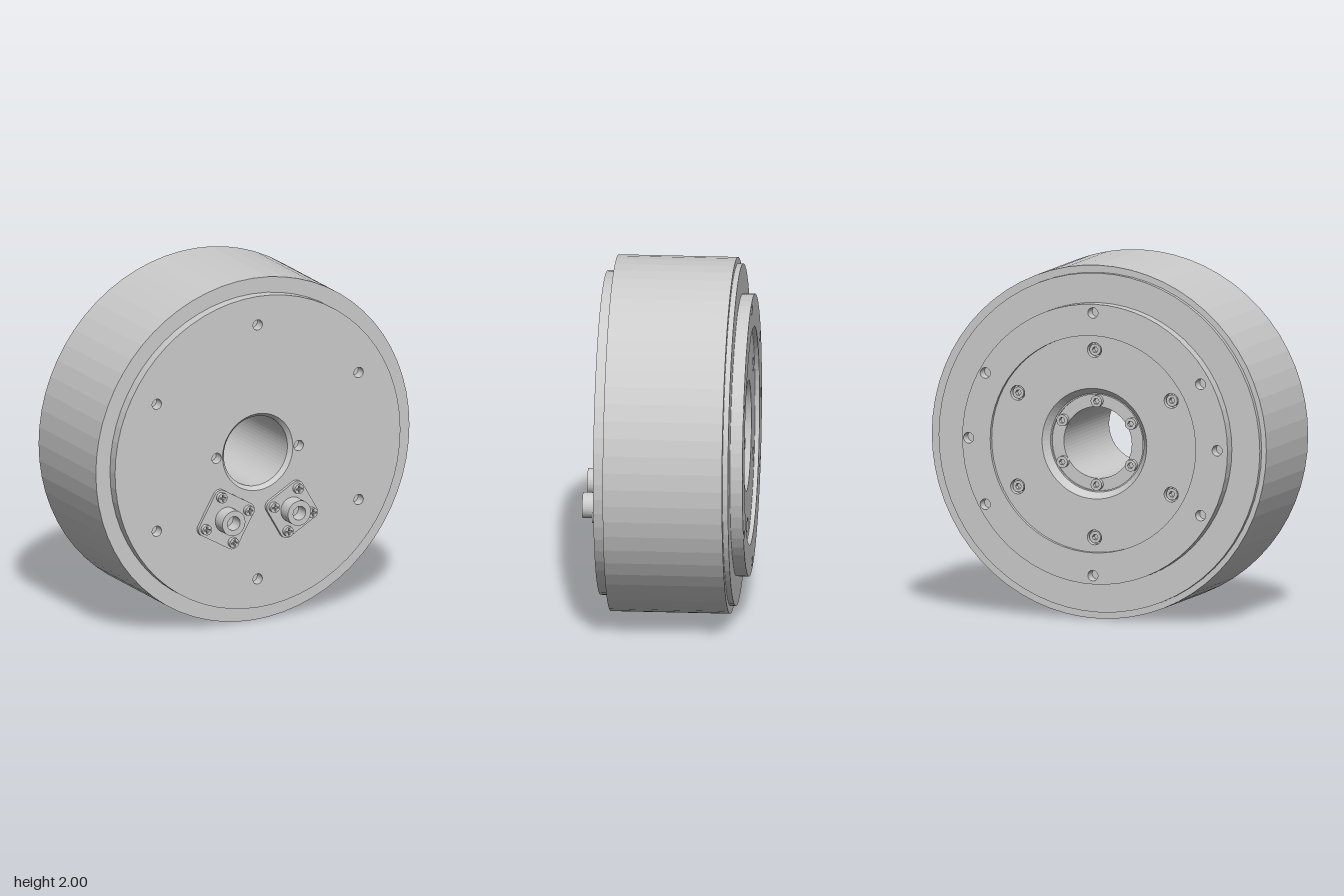
import * as THREE from 'three';

const material = new THREE.MeshStandardMaterial({ color: 0xcccccc });
const openMaterial = new THREE.MeshStandardMaterial({ color: 0xcccccc, side: THREE.DoubleSide, flatShading: true });

const BORE = 0.203;
const BOLT_CIRCLE = 0.743;

function circle(r, x = 0, y = 0, PathType = THREE.Path) {
  return new PathType().absarc(x, y, r, 0, Math.PI * 2, false);
}

// Points spaced evenly on a circle, as [x, y]
function polar(count, r, startDeg) {
  return Array.from({ length: count }, (_, i) => {
    const a = THREE.MathUtils.degToRad(startDeg) + (i * Math.PI * 2) / count;
    return [r * Math.cos(a), r * Math.sin(a)];
  });
}

function polygonPath(points) {
  return new THREE.Path(points.map(([x, y]) => new THREE.Vector2(x, y)));
}

// Prism along z between two depths, with holes
function slab(name, shape, z0, z1, holes = [], curveSegments = 32) {
  shape.holes.push(...holes);
  const geometry = new THREE.ExtrudeGeometry(shape, { depth: z1 - z0, bevelEnabled: false, curveSegments });
  geometry.translate(0, 0, z0);
  const mesh = new THREE.Mesh(geometry, material);
  mesh.name = name;
  return mesh;
}

// Open ring swept round the z axis from [radius, z] points
function sweptRing(name, profile) {
  const geometry = new THREE.LatheGeometry(profile.map(([r, z]) => new THREE.Vector2(r, z)), 64);
  geometry.rotateX(Math.PI / 2);
  const mesh = new THREE.Mesh(geometry, openMaterial);
  mesh.name = name;
  return mesh;
}

// Screw head with a hexagonal socket
function socketScrew(name, [x, y], r, z0, z1) {
  const socket = polygonPath(polar(6, r * 0.52, 0));
  const screw = slab(name, circle(r, 0, 0, THREE.Shape), z0, z1, [socket], 12);
  screw.position.set(x, y, 0);
  return screw;
}

// Screw head with a cross recess
function crossScrew([x, y], r, z0, z1) {
  const a = r * 0.68, b = r * 0.16;
  const cross = polygonPath([[a, -b], [a, b], [b, b], [b, a], [-b, a], [-b, b],
    [-a, b], [-a, -b], [-b, -b], [-b, -a], [b, -a], [b, -b]]);
  const screw = slab('connectorScrew', circle(r, 0, 0, THREE.Shape), z0, z1, [cross], 12);
  screw.position.set(x, y, 0);
  return screw;
}

// Flanged socket: rounded square plate, hollow barrel and four screws
function connector(name, x, y, screwRadius, startDeg) {
  const group = new THREE.Group();
  group.name = name;
  group.position.set(x, y, 0);
  const corners = polar(4, screwRadius, startDeg);
  const plate = new THREE.Shape();
  corners.forEach(([cx, cy], i) => {
    const a = THREE.MathUtils.degToRad(startDeg) + (i * Math.PI) / 2;
    plate.absarc(cx, cy, 0.042, a - Math.PI / 4, a + Math.PI / 4, false);
  });
  plate.closePath();
  group.add(slab('connectorPlate', plate, 0.36, 0.385, [], 8));
  group.add(slab('connectorBarrel', circle(0.073, 0, 0, THREE.Shape), 0.38, 0.47, [circle(0.04)], 16));
  for (const corner of corners) group.add(crossScrew(corner, 0.029, 0.385, 0.41));
  return group;
}

export function createModel() {
  const model = new THREE.Group();
  model.name = 'hollowRotaryDrive';
  const drive = new THREE.Group();
  drive.name = 'drive';
  drive.position.y = 1;
  model.add(drive);

  const hexHoles = polar(6, BOLT_CIRCLE, 30);
  const smallHoles = (points) => points.map(([x, y]) => circle(0.03, x, y));

  // Main drum
  drive.add(slab('housing', circle(1, 0, 0, THREE.Shape), -0.365, 0.305, [circle(BORE)]));

  // Front cover with bolt holes and a chamfered bore
  drive.add(slab('frontCover', circle(0.91, 0, 0, THREE.Shape), 0.305, 0.365,
    [circle(0.224), ...smallHoles([...hexHoles, [0.262, 0], [-0.262, 0]])]));
  drive.add(sweptRing('boreChamfer', [[0.224, 0.365], [BORE, 0.34], [BORE, 0.3]]));

  // Connectors on the front cover
  drive.add(connector('rightConnector', -0.209, -0.361, 0.141, 15));
  drive.add(connector('leftConnector', 0.209, -0.361, 0.1245, -15));

  // Stepped rear: rim, output flange and recessed centre disc
  const rearX = -0.012;
  drive.add(slab('rearRim', circle(0.96, rearX, 0, THREE.Shape), -0.395, -0.365, [circle(0.272)]));
  drive.add(slab('outputFlange', circle(0.793, rearX, 0, THREE.Shape), -0.465, -0.395,
    [circle(0.614), ...smallHoles([...hexHoles, [BOLT_CIRCLE, 0], [-BOLT_CIRCLE, 0]])]));
  const discScrews = polar(6, 0.53, 30);
  drive.add(slab('centreDisc', circle(0.618, 0, 0, THREE.Shape), -0.44, -0.395,
    [circle(0.313), ...discScrews.map(([x, y]) => circle(0.042, x, y))]));
  for (const p of discScrews) drive.add(socketScrew('discScrew', p, 0.033, -0.43, -0.395));

  // Tapered well down to the screwed ledge round the bore
  drive.add(sweptRing('wellWall', [[0.313, -0.44], [0.272, -0.385]]));
  drive.add(slab('boreLedge', circle(0.28, 0, 0, THREE.Shape), -0.385, -0.365, [circle(BORE)]));
  for (const p of polar(6, 0.236, 30)) drive.add(socketScrew('ledgeScrew', p, 0.033, -0.412, -0.385));

  return model;
}
